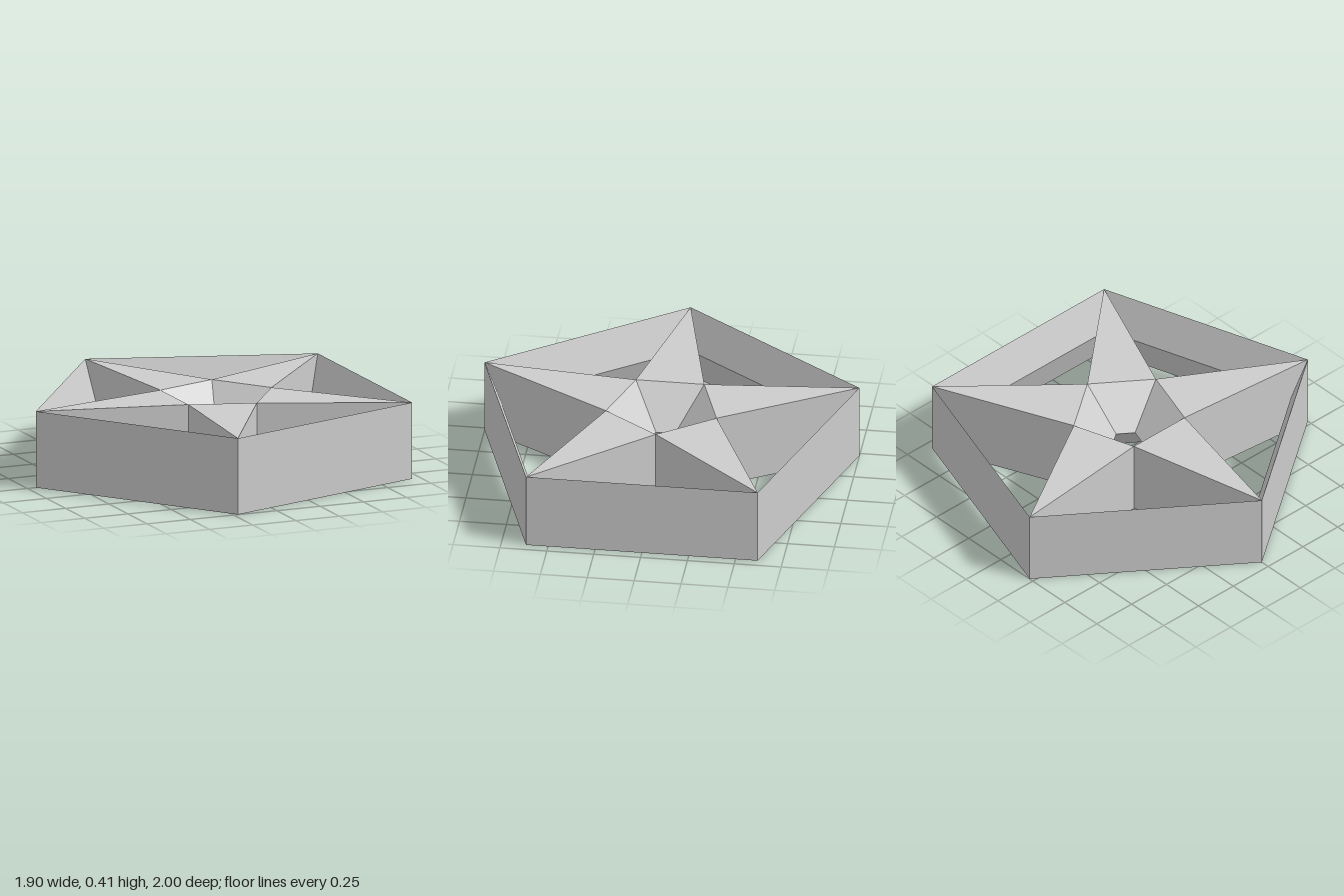
import * as THREE from 'three';

const HEIGHT = 0.414, MID = HEIGHT / 2;
const R_OUTER = 1.051, R_STAR = 0.31, R_HOLE = 0.086;
const CENTRE_X = 0.1;      // puts the pentagon's bounding box on x = 0
const WALL_INSET = 0.139;  // where the wall's inner ridge cuts an arm, tip to notch

// Point at a radius and a number of fifth-turns around the centre
const at = (r, turn, y) => {
  const a = turn * Math.PI * 2 / 5;
  return new THREE.Vector3(CENTRE_X + r * Math.cos(a), y, r * Math.sin(a));
};
const tip = (k, y) => at(R_OUTER, k + 0.5, y);
const notch = (k, y) => at(R_STAR, k, y);
const ridge = (t, n) => tip(t, MID).lerp(notch(n, MID), WALL_INSET);

// Flat-faced mesh from convex polygons
function facets(name, polygons, material) {
  const points = [];
  for (const p of polygons) {
    for (let i = 1; i < p.length - 1; i++) points.push(p[0], p[i], p[i + 1]);
  }
  const geometry = new THREE.BufferGeometry().setFromPoints(points);
  geometry.computeVertexNormals();
  const mesh = new THREE.Mesh(geometry, material);
  mesh.name = name;
  return mesh;
}

// Two slopes running from the top and bottom edges a-b to a middle ridge
const bevel = (edge, ka, kb, ma, mb) => [
  [edge(kb, HEIGHT), edge(ka, HEIGHT), ma, mb],
  [edge(ka, 0), edge(kb, 0), mb, ma],
];

export function createModel() {
  const grey = new THREE.MeshStandardMaterial({ color: 0xcccccc, flatShading: true });
  grey.name = 'grey';
  const outer = [], inner = [], star = [], sides = [], funnel = [];

  for (let k = 0; k < 5; k++) {
    const H = HEIGHT;
    // Pentagon wall: upright outside, ridged inside
    outer.push([tip(k - 1, 0), tip(k - 1, H), tip(k, H), tip(k, 0)]);
    const ma = ridge(k - 1, k), mb = ridge(k, k);
    inner.push(...bevel(tip, k - 1, k, ma, mb));

    // Star arm, top and bottom
    star.push([notch(k, H), notch(k + 1, H), tip(k, H)]);
    star.push([notch(k + 1, 0), notch(k, 0), tip(k, 0)]);

    // Upright arm sides around each triangular opening
    const nt = notch(k, H), nb = notch(k, 0);
    sides.push([nt, tip(k, H), mb], [nt, mb, nb], [mb, tip(k, 0), nb]);
    sides.push([ma, tip(k - 1, H), nt], [nb, ma, nt], [nb, tip(k - 1, 0), ma]);

    // Hourglass hole in the middle
    funnel.push(...bevel(notch, k, k + 1, at(R_HOLE, k, MID), at(R_HOLE, k + 1, MID)));
  }

  const group = new THREE.Group();
  group.name = 'starInPentagon';
  group.add(
    facets('outerWall', outer, grey),
    facets('wallInnerSlopes', inner, grey),
    facets('starFaces', star, grey),
    facets('starSides', sides, grey),
    facets('centreFunnel', funnel, grey),
  );
  return group;
}
